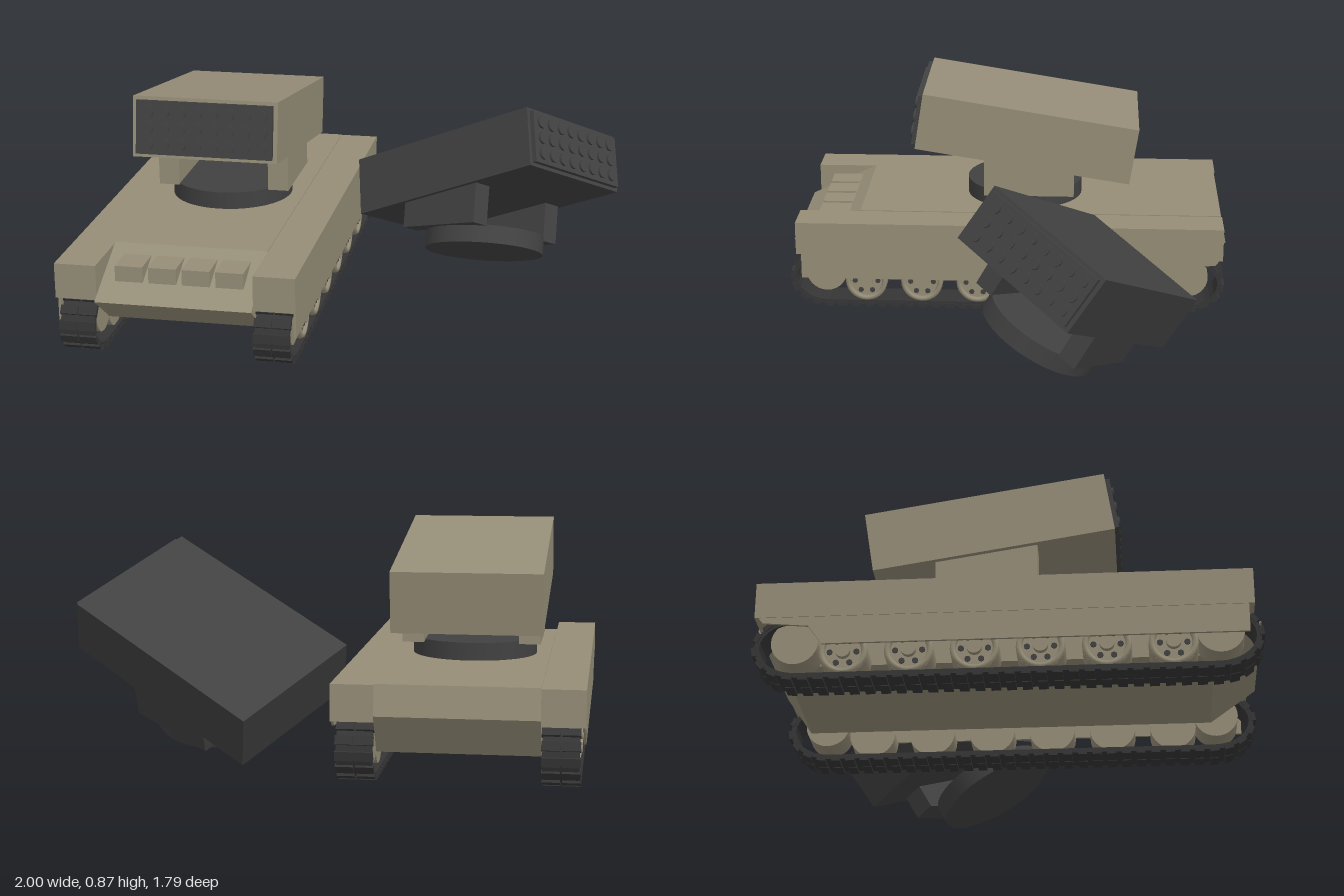
import * as THREE from 'three';

const mat = (name, color) => {
  const m = new THREE.MeshStandardMaterial({ color });
  m.name = name;
  return m;
};

export function createModel() {
  const khaki = mat('khaki paint', 0x958d77);
  const charcoal = mat('charcoal metal', 0x414141);
  const rubber = mat('track black', 0x353535);

  const add = (parent, name, geo, material, x = 0, y = 0, z = 0) => {
    const m = new THREE.Mesh(geo, material);
    m.name = name;
    m.position.set(x, y, z);
    parent.add(m);
    return m;
  };
  const group = (parent, name) => {
    const g = new THREE.Group();
    g.name = name;
    parent.add(g);
    return g;
  };
  const box = (w, h, d) => new THREE.BoxGeometry(w, h, d);
  const disc = (r, w, n = 28) => new THREE.CylinderGeometry(r, r, w, n).rotateZ(Math.PI / 2);
  // Side outline given as [z, y] points, extruded across x and centred
  const sideExtrude = (pts, width, hole) => {
    const shape = new THREE.Shape(pts.map(p => new THREE.Vector2(...p)));
    if (hole) shape.holes.push(new THREE.Path(hole.map(p => new THREE.Vector2(...p))));
    return new THREE.ExtrudeGeometry(shape, { depth: width, bevelEnabled: false })
      .rotateY(-Math.PI / 2).translate(width / 2, 0, 0);
  };
  // Track loop: straight runs joined by half ellipses
  const loop = inset => {
    const pts = [];
    for (const s of [1, -1]) {
      for (let i = 0; i <= 14; i++) {
        const a = -Math.PI / 2 + Math.PI * i / 14;
        pts.push([s * (0.73 + (0.15 - inset) * Math.cos(a)), 0.125 + s * (0.115 - inset) * Math.sin(a)]);
      }
    }
    return pts;
  };

  const model = new THREE.Group();
  model.name = 'rocketCarrier';
  const vehicle = group(model, 'vehicle');
  vehicle.position.x = -0.545;

  // Hull with sloped nose and tail
  add(vehicle, 'hull', sideExtrude([
    [0.72, 0.115], [0.89, 0.24], [0.61, 0.373], [-0.875, 0.373], [-0.898, 0.26], [-0.8, 0.115],
  ].reverse(), 0.588), khaki);
  for (let i = 0; i < 4; i++) {
    add(vehicle, 'noseBlock', box(0.105, 0.1, 0.14), khaki, (i - 1.5) * 0.127, 0.298, 0.72);
  }

  // Running gear on both sides
  for (const s of [1, -1]) {
    const side = group(vehicle, s > 0 ? 'leftSide' : 'rightSide');
    add(side, 'sponson', box(0.157, 0.135, 1.74), khaki, s * 0.3725, 0.3025, -0.01);
    add(side, 'skirt', sideExtrude([
      [-0.64, 0.13], [0.84, 0.13], [0.84, 0.24], [-0.87, 0.24], [-0.85, 0.215], [-0.69, 0.2],
    ], 0.009), khaki, s * 0.444);

    const track = group(side, 'track');
    add(track, 'trackBand', sideExtrude(loop(0), 0.13, loop(0.018).reverse()), rubber, s * 0.365);
    const path = new THREE.CurvePath();
    const pts = loop(0).map(p => new THREE.Vector3(0, p[1], p[0]));
    pts.forEach((p, i) => path.add(new THREE.LineCurve3(p, pts[(i + 1) % pts.length])));
    const pads = 68;
    for (let i = 0; i < pads; i++) {
      const p = path.getPointAt(i / pads), t = path.getTangentAt(i / pads);
      for (const k of [-1, 1]) {
        const pad = add(track, 'trackPad', box(0.066, 0.018, 0.034), rubber, s * 0.365 + k * 0.036, p.y, p.z);
        pad.rotation.x = -Math.atan2(t.y, t.z);
      }
    }

    // Road wheels with rim, hub and bolts
    for (let i = 0; i < 6; i++) {
      const wheel = group(side, 'roadWheel');
      wheel.position.set(s * 0.365, 0.11, 0.577 - i * 0.229);
      add(wheel, 'wheelDisc', disc(0.086, 0.1), khaki);
      add(wheel, 'wheelRim', new THREE.TorusGeometry(0.075, 0.011, 6, 28).rotateY(Math.PI / 2), khaki, s * 0.052);
      add(wheel, 'wheelHub', disc(0.026, 0.03, 16), khaki, s * 0.054);
      for (let b = 0; b < 6; b++) {
        const a = b * Math.PI / 3;
        add(wheel, 'wheelBolt', disc(0.011, 0.016, 8), charcoal, s * 0.046, 0.047 * Math.sin(a), 0.047 * Math.cos(a));
      }
    }
    for (const z of [0.74, -0.74]) {
      add(side, 'endWheel', disc(0.083, 0.11), khaki, s * 0.365, 0.15, z);
    }
  }

  // Launcher, built around the middle of its tube box
  const makeLauncher = (name, parent, paint) => {
    const g = group(parent, name);
    add(g, 'tubeBox', box(0.565, 0.235, 0.89), paint);
    add(g, 'tubePanel', box(0.532, 0.207, 0.024), charcoal, 0, 0, 0.451);
    const tube = new THREE.CylinderGeometry(0.024, 0.024, 0.016, 16).rotateX(Math.PI / 2);
    for (let r = 0; r < 3; r++) {
      for (let c = 0; c < 8; c++) {
        add(g, 'tubeCap', tube, charcoal, (c - 3.5) * 0.063, (r - 1) * 0.063, 0.464);
      }
    }
    // Level turntable and arms under the tilted box
    const base = group(g, 'launcherBase');
    base.rotation.x = Math.PI / 20;
    add(base, 'turntable', new THREE.CylinderGeometry(0.24, 0.24, 0.072, 40), charcoal, 0, -0.281, 0.015);
    for (const s of [1, -1]) {
      add(base, 'launcherArm', box(0.082, 0.2, 0.37), paint, s * 0.222, -0.15, -0.01);
    }
    return g;
  };

  const mounted = makeLauncher('mountedLauncher', vehicle, khaki);
  mounted.position.set(0, 0.686, -0.075);
  mounted.rotation.x = -Math.PI / 20;

  // Separate launcher lying beside the vehicle
  const loose = makeLauncher('looseLauncher', model, charcoal);
  const forward = new THREE.Vector3(0.8136, 0.417, 0.407).normalize();
  const across = new THREE.Vector3(-0.143, 0.81, -0.57).cross(forward).normalize();
  const up = forward.clone().cross(across);
  loose.quaternion.setFromRotationMatrix(new THREE.Matrix4().makeBasis(across, up, forward));
  loose.position.set(0.458, 0.407, -0.3125);

  return model;
}
